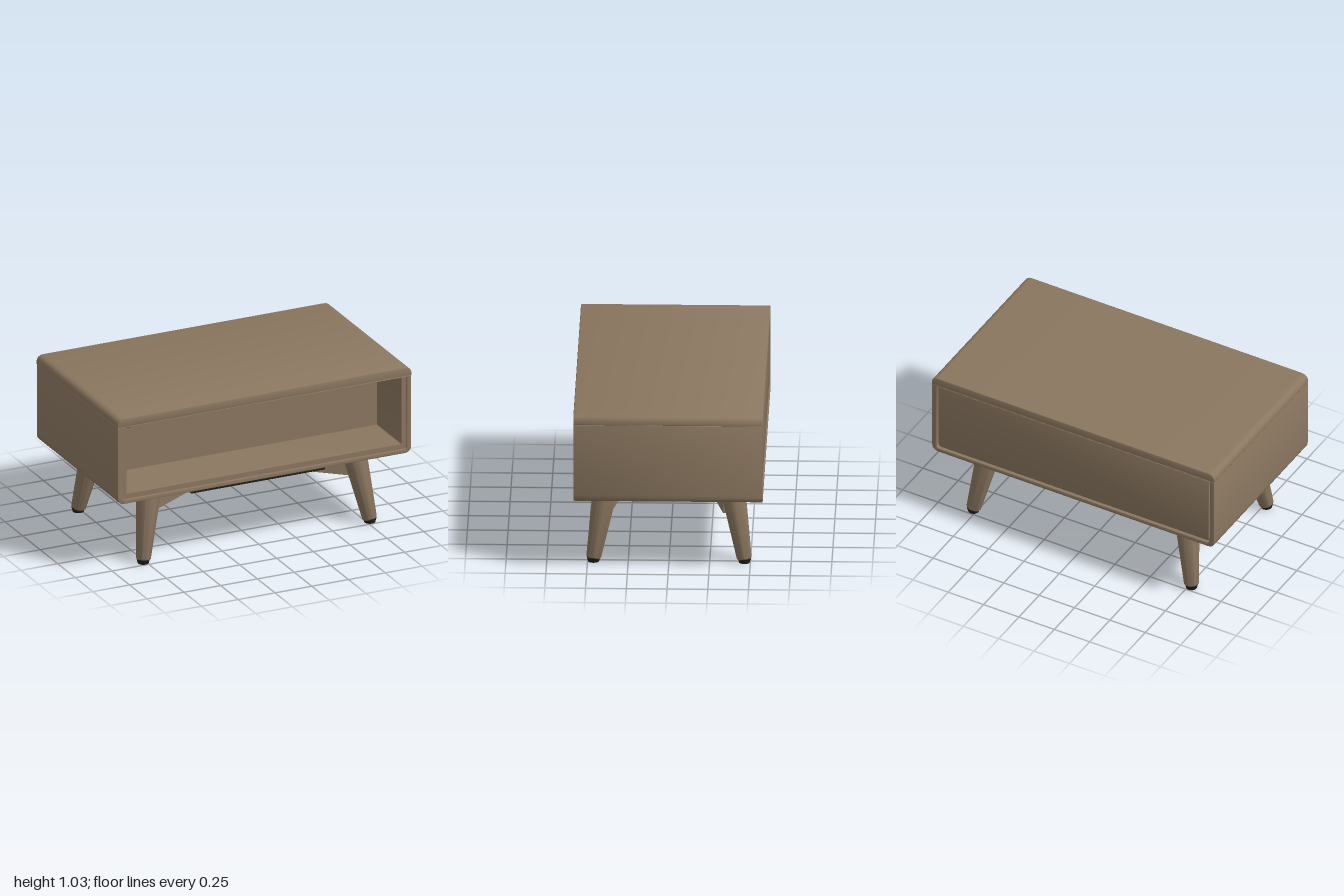
import * as THREE from 'three';
import { toCreasedNormals } from 'three/addons/utils/BufferGeometryUtils.js';

const wood = new THREE.MeshStandardMaterial({ color: 0x8b7760 });
wood.name = 'walnut wood';
const black = new THREE.MeshStandardMaterial({ color: 0x1f1f17 });
black.name = 'black plastic';

// Outline with separate radii for the lower and upper corners
function roundedOutline(path, x, y0, y1, rLow, rTop) {
  path.moveTo(-x + rLow, y0);
  path.lineTo(x - rLow, y0);
  path.quadraticCurveTo(x, y0, x, y0 + rLow);
  path.lineTo(x, y1 - rTop);
  path.quadraticCurveTo(x, y1, x - rTop, y1);
  path.lineTo(-x + rTop, y1);
  path.quadraticCurveTo(-x, y1, -x, y1 - rTop);
  path.lineTo(-x, y0 + rLow);
  path.quadraticCurveTo(-x, y0, -x + rLow, y0);
  return path;
}

// Extrude a front outline from z0 to z1 with a small edge bevel
function extrudeZ(shape, z0, z1, bevel) {
  const g = new THREE.ExtrudeGeometry(shape, {
    depth: z1 - z0 - 2 * bevel, bevelEnabled: bevel > 0, bevelThickness: bevel,
    bevelSize: bevel, bevelOffset: -bevel, bevelSegments: 2, curveSegments: 8,
  });
  g.translate(0, 0, z0 + bevel);
  return toCreasedNormals(g, 0.6);
}

function createModel() {
  const model = new THREE.Group();
  model.name = 'table';
  const add = (name, geometry, material, parent = model) => {
    const mesh = new THREE.Mesh(geometry, material);
    mesh.name = name;
    parent.add(mesh);
    return mesh;
  };
  const box = (name, w, h, d, x, y, z, material = wood) =>
    add(name, new THREE.BoxGeometry(w, h, d), material).position.set(x, y, z);

  // Top slab with rounded ends
  add('topSlab', extrudeZ(roundedOutline(new THREE.Shape(), 1, 0.975, 1.032, 0.004, 0.05),
    -0.582, 0.582, 0.006), wood);

  // Outer shell, open to the front and the back
  const shell = roundedOutline(new THREE.Shape(), 0.998, 0.465, 0.974, 0.05, 0.004);
  shell.holes.push(roundedOutline(new THREE.Path(), 0.965, 0.492, 0.968, 0.025, 0.002));
  add('shell', extrudeZ(shell, -0.58, 0.58, 0.004), wood);

  // Inner lining of the open compartment, set just behind the shell edge
  const lining = roundedOutline(new THREE.Shape(), 0.967, 0.49, 0.972, 0.025, 0.002);
  lining.holes.push(roundedOutline(new THREE.Path(), 0.935, 0.525, 0.969, 0.006, 0.002));
  add('lining', extrudeZ(lining, 0.2, 0.568, 0), wood);
  box('compartmentBack', 1.93, 0.478, 0.02, 0, 0.731, 0.21);

  // Back panel with a narrow shadow gap around it
  add('backPanel', extrudeZ(roundedOutline(new THREE.Shape(), 0.955, 0.502, 0.961, 0.02, 0.004),
    -0.572, -0.55, 0.004), wood);
  box('backPanelBacking', 1.93, 0.476, 0.02, 0, 0.73, -0.545);

  // Stop knobs under the slab
  for (const s of [-1, 1]) {
    add('stopKnob', new THREE.SphereGeometry(0.03, 20, 12), wood).position.set(s * 0.9, 0.966, 0.51);
  }

  // Splayed tapered legs, feet and screw caps
  const up = new THREE.Vector3(0, 1, 0);
  const legProfile = [[0, 0], [0.04, 0], [0.046, 0.008], [0.08, 0.48], [0, 0.48]]
    .map(([r, y]) => new THREE.Vector2(r, y));
  const legGeometry = toCreasedNormals(new THREE.LatheGeometry(legProfile, 28), 0.6);
  for (const sx of [-1, 1]) {
    for (const sz of [-1, 1]) {
      const leg = new THREE.Group();
      leg.name = 'legAssembly';
      model.add(leg);
      const post = add('leg', legGeometry, wood, leg);
      post.position.set(sx * 0.77, 0.022, sz * 0.463);
      post.quaternion.setFromUnitVectors(up,
        new THREE.Vector3(-sx * 0.075, 0.445, -sz * 0.075).normalize());
      add('foot', new THREE.CylinderGeometry(0.042, 0.034, 0.03, 20), black, leg)
        .position.set(sx * 0.77, 0.015, sz * 0.463);
      const cap = add('screwCap', new THREE.SphereGeometry(0.028, 16, 10), wood, leg);
      cap.position.set(sx * 0.728, 0.447, sz * 0.455);
      cap.scale.z = 0.6;
    }
  }

  // V-shaped braces, deepening towards the legs
  const plan = new THREE.Shape([[0, 0.13], [0.7, 0.355], [0.7, 0.41], [0, 0.185],
    [-0.7, 0.41], [-0.7, 0.355]].map(([x, z]) => new THREE.Vector2(x, z)));
  for (const back of [false, true]) {
    const g = new THREE.ExtrudeGeometry(plan, { depth: 1, bevelEnabled: false });
    g.rotateX(Math.PI / 2);
    const p = g.attributes.position;
    for (let i = 0; i < p.count; i++) {
      p.setY(i, p.getY(i) > -0.5 ? 0.47 : 0.415 - 0.17 * Math.abs(p.getX(i)));
    }
    if (back) g.rotateY(Math.PI);
    g.computeVertexNormals();
    const brace = add(back ? 'backBrace' : 'frontBrace', g, wood);
    if (back) brace.position.z = 0.025;
  }

  // Dark runner below the front edge
  box('runner', 0.91, 0.04, 0.09, -0.015, 0.447, 0.475, black);

  return model;
}

export { createModel };
